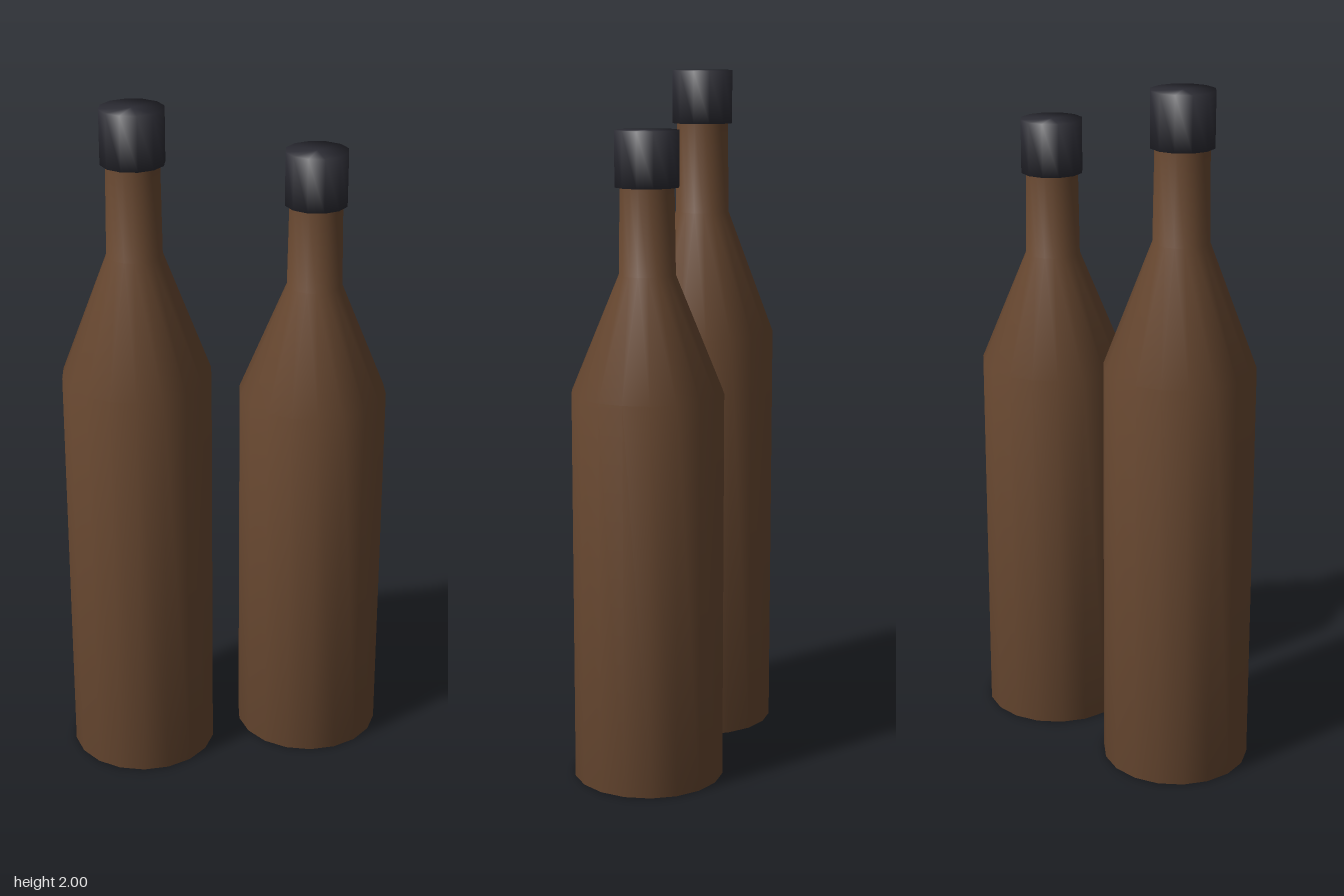
import * as THREE from 'three';

const glass = new THREE.MeshStandardMaterial({ color: 0x6b4a32 });
glass.name = 'brown glass';
const capDark = new THREE.MeshStandardMaterial({ color: 0x2c2c34 });
capDark.name = 'dark cap';

// Smooth closed lathe from [radius, height] pairs, with a corner on the x axis
function lathe(name, points, sides, material) {
  const profile = points.map(([r, y]) => new THREE.Vector2(r, y));
  const mesh = new THREE.Mesh(new THREE.LatheGeometry(profile, sides, Math.PI / 2), material);
  mesh.name = name;
  return mesh;
}

// One bottle; s scales the glass heights while the cap keeps its size
function bottle(name, x, s) {
  const group = new THREE.Group();
  group.name = name;
  const capBase = 1.845 * s;
  const capHeight = 0.155;

  // Base, straight body, sloped shoulder and narrow neck
  group.add(lathe('glassBody', [
    [0, 0], [0.216, 0], [0.216, 1.222 * s], [0.08, 1.582 * s], [0.076, capBase + 0.02],
  ], 18, glass));

  // Cap
  group.add(lathe('cap', [
    [0, capBase], [0.091, capBase], [0.091, capBase + capHeight], [0, capBase + capHeight],
  ], 12, capDark));

  group.position.x = x;
  return group;
}

export function createModel() {
  const model = new THREE.Group();
  model.name = 'bottlePair';
  model.add(bottle('tallBottle', -0.26, 1), bottle('shortBottle', 0.26, 0.918));
  return model;
}
